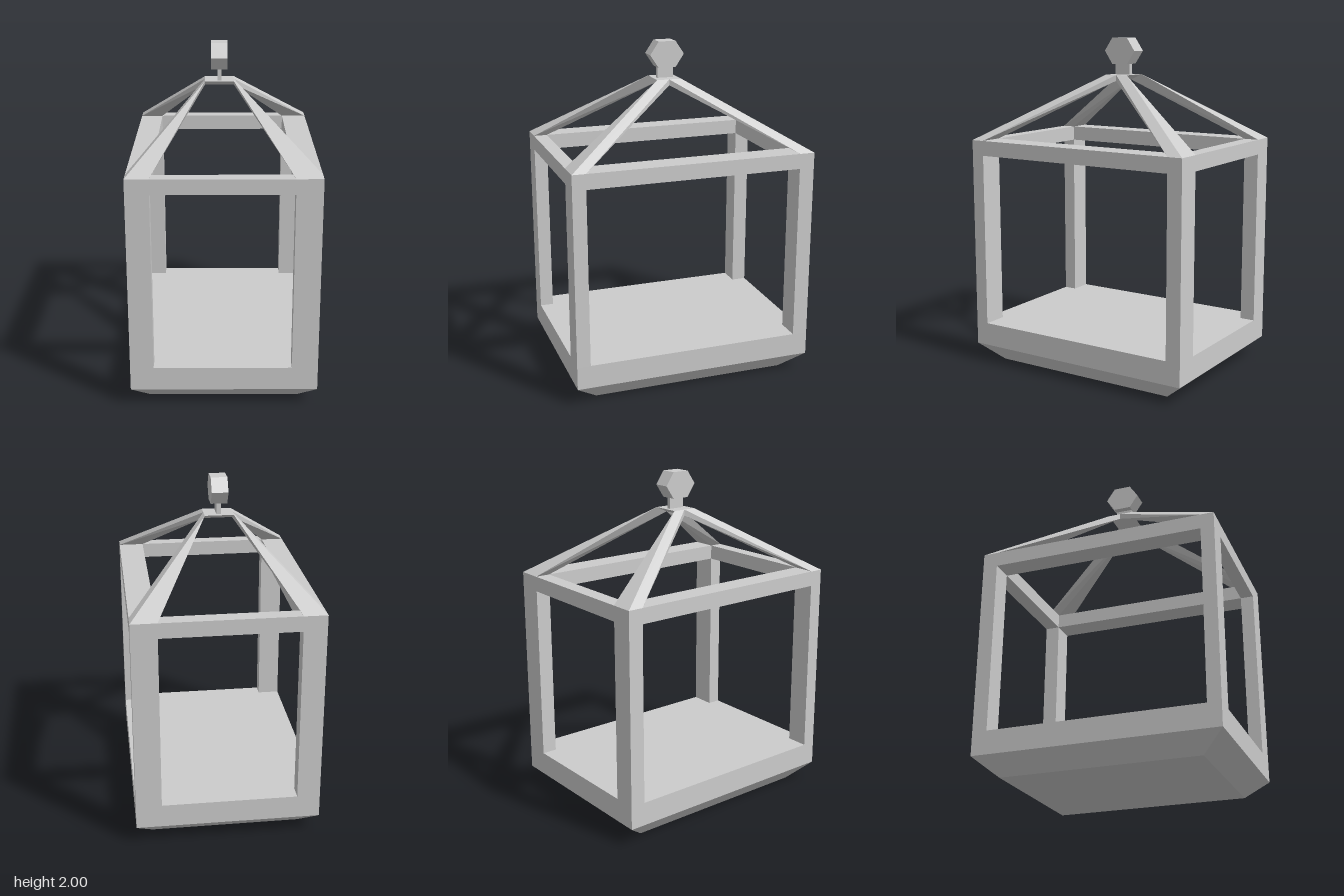
import * as THREE from 'three';
import { ConvexGeometry } from 'three/addons/geometries/ConvexGeometry.js';

const material = new THREE.MeshStandardMaterial({ color: 0xcccccc, flatShading: true });

// Outer half sizes, and the slightly off-centre opening between the posts
const HX = 0.54, HZ = 0.725;
const OPEN = { x: [-0.405, 0.39], z: [-0.635, 0.645] };
const FLOOR = 0.25, RAIL = 1.30, TOP = 1.39;
const RIDGE = { x: [-0.11, 0.06], z: 0.075, low: 1.745, high: 1.78 };

export function createModel() {
  const model = new THREE.Group();
  const add = (name, geometry) => {
    const mesh = new THREE.Mesh(geometry, material);
    mesh.name = name;
    model.add(mesh);
  };
  const box = (name, x0, x1, y0, y1, z0, z1) => add(name,
    new THREE.BoxGeometry(x1 - x0, y1 - y0, z1 - z0)
      .translate((x0 + x1) / 2, (y0 + y1) / 2, (z0 + z1) / 2));
  const hull = (name, points) => add(name,
    new ConvexGeometry(points.map(p => new THREE.Vector3(...p))));

  // Base: tapered underside below a solid floor slab
  const rect = (x, y, z) => [[-x, y, -z], [x, y, -z], [x, y, z], [-x, y, z]];
  hull('taperedBase', [...rect(0.44, 0, 0.59), ...rect(HX, 0.11, HZ)]);
  box('floorSlab', -HX, HX, 0.11, FLOOR, -HZ, HZ);

  // Top frame: flat rectangle with the opening cut out
  const outline = (x0, x1, z0, z1, type) => new type([
    [x0, -z0], [x0, -z1], [x1, -z1], [x1, -z0],
  ].map(p => new THREE.Vector2(...p)));
  const frame = outline(-HX, HX, -HZ, HZ, THREE.Shape);
  frame.holes.push(outline(...OPEN.x, ...OPEN.z, THREE.Path));
  add('topFrame', new THREE.ExtrudeGeometry(frame, { depth: TOP - RAIL, bevelEnabled: false })
    .rotateX(-Math.PI / 2).translate(0, RAIL, 0));

  // Corner posts, each with a tapering roof bar rising to the ridge
  for (const i of [0, 1]) for (const k of [0, 1]) {
    const side = (i ? 'left' : 'right'), end = (k ? 'Front' : 'Back');
    const ox = i ? HX : -HX, oz = k ? HZ : -HZ;
    const ix = OPEN.x[i], iz = OPEN.z[k];
    const rx = RIDGE.x[i], rz = k ? RIDGE.z : -RIDGE.z;
    box(side + end + 'Post', Math.min(ox, ix), Math.max(ox, ix), FLOOR, RAIL,
      Math.min(oz, iz), Math.max(oz, iz));
    hull(side + end + 'RoofBar', [
      [ox, TOP, oz], [ix, TOP, oz], [ox, TOP, iz], [ix, TOP, iz],
      [rx, RIDGE.high, rz], [rx, RIDGE.high, 0], [rx, RIDGE.low, 0],
    ]);
  }

  // Ridge: triangular bar joining the roof bars
  hull('ridge', RIDGE.x.flatMap(x => [
    [x, RIDGE.high, -RIDGE.z], [x, RIDGE.high, RIDGE.z], [x, RIDGE.low, 0],
  ]));

  // Neck and hexagonal hanging knob
  box('knobNeck', -0.037, -0.012, 1.77, 1.85, -0.05, 0.05);
  add('knob', new THREE.CylinderGeometry(0.105, 0.105, 0.097, 6)
    .rotateZ(Math.PI / 2).scale(1, 0.855, 1).translate(-0.026, 1.922, 0));

  return model;
}
